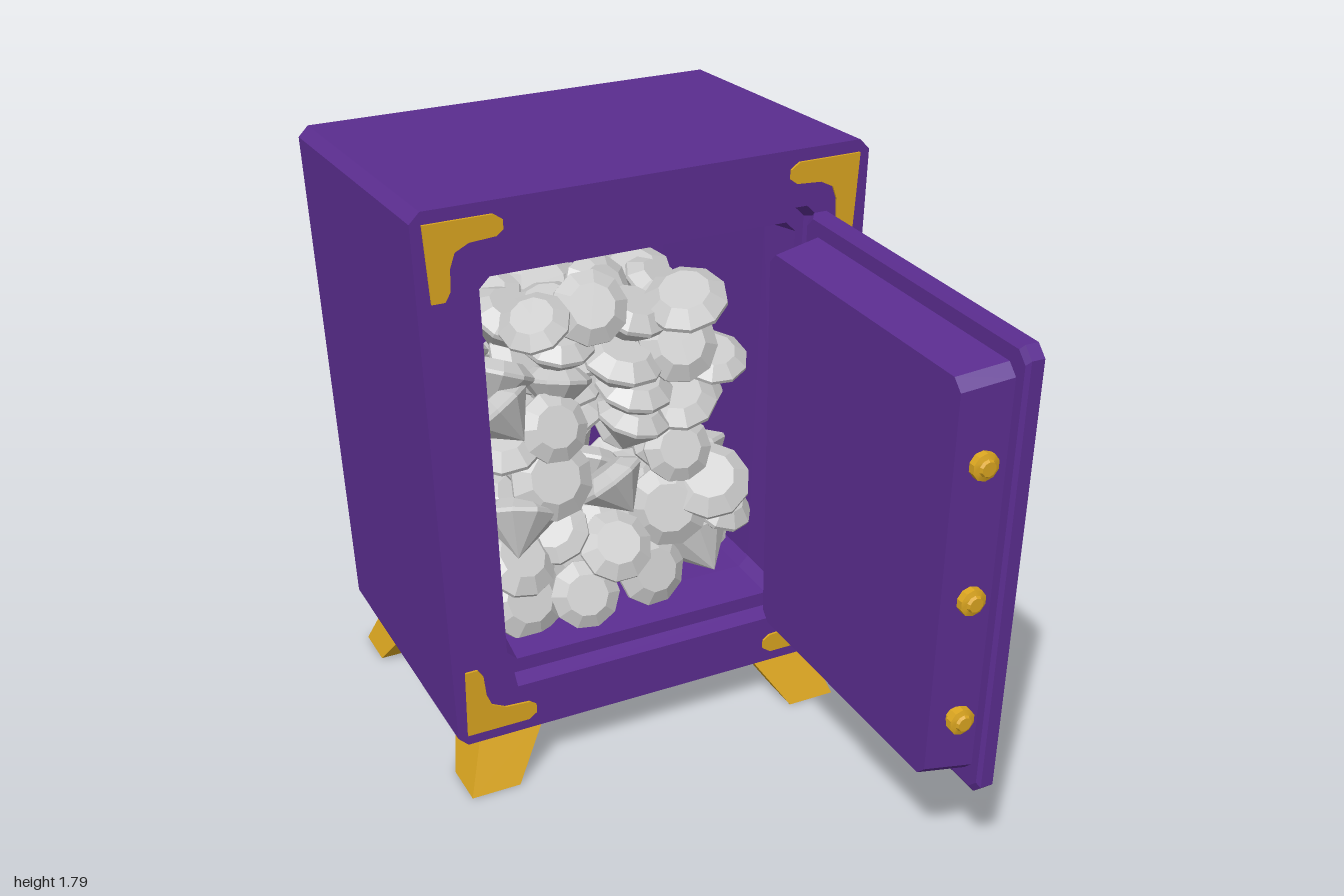
import * as THREE from 'three';
import { toCreasedNormals } from 'three/addons/utils/BufferGeometryUtils.js';

const purple = new THREE.MeshStandardMaterial({ color: 0x5b2d90 });
const gold = new THREE.MeshStandardMaterial({ color: 0xdaa520 });
const silver = new THREE.MeshStandardMaterial({ color: 0xc8c8c8 });

function add(parent, name, geometry, material, x = 0, y = 0, z = 0) {
  const mesh = new THREE.Mesh(geometry, material);
  mesh.name = name;
  mesh.position.set(x, y, z);
  parent.add(mesh);
  return mesh;
}

// Tapered rectangle with cut corners, counter-clockwise from the front.
// z may be a number or a function of y.
function ring(topHalf, botHalf, yTop, yBot, cut, z) {
  const corners = [
    [botHalf - cut, yBot], [botHalf, yBot + cut], [topHalf, yTop - cut], [topHalf - cut, yTop],
    [cut - topHalf, yTop], [-topHalf, yTop - cut], [-botHalf, yBot + cut], [cut - botHalf, yBot],
  ];
  return corners.map(([x, y]) => [x, y, typeof z === 'function' ? z(y) : z]);
}

// Joins successive rings and closes both ends, with flat faces
function loft(rings) {
  const pos = [];
  const n = rings[0].length;
  const first = rings[0], last = rings[rings.length - 1];
  for (let k = 0; k < rings.length - 1; k++) {
    const a = rings[k], b = rings[k + 1];
    for (let i = 0; i < n; i++) {
      const j = (i + 1) % n;
      pos.push(...a[i], ...a[j], ...b[j], ...a[i], ...b[j], ...b[i]);
    }
  }
  for (let i = 1; i < n - 1; i++) {
    pos.push(...first[0], ...first[i + 1], ...first[i]);
    pos.push(...last[0], ...last[i], ...last[i + 1]);
  }
  const geo = new THREE.BufferGeometry();
  geo.setAttribute('position', new THREE.Float32BufferAttribute(pos, 3));
  geo.computeVertexNormals();
  return geo;
}

function lathe(points, sides, crease) {
  const geo = new THREE.LatheGeometry(points.map(p => new THREE.Vector2(...p)), sides);
  return toCreasedNormals(geo, crease);
}

const FRONT = -0.05;
const halfWidth = y => 0.62 + 0.045 * (y - 0.155) / 1.635;

// Body: outer shell, front frame, stepped doorway and hollow inside in one skin
function buildBody(root) {
  const backZ = y => -0.955 - 0.045 * (y - 0.155) / 1.58;
  add(root, 'safeBody', loft([
    ring(0.665, 0.62, 1.735, 0.155, 0.03, backZ),
    ring(0.665, 0.62, 1.79, 0.155, 0.03, FRONT),
    ring(0.51, 0.465, 1.625, 0.31, 0.035, FRONT),
    ring(0.495, 0.455, 1.612, 0.325, 0.035, FRONT - 0.05),
    ring(0.47, 0.44, 1.565, 0.37, 0.03, FRONT - 0.05),
    ring(0.455, 0.43, 1.545, 0.385, 0.03, FRONT - 0.2),
    ring(0.455, 0.43, 1.545, 0.385, 0.03, FRONT - 0.83),
  ]), purple);
}

// Corner brackets: thin L plates following the slanted sides
function buildBrackets(root) {
  const outline = [[0, 0], [0.19, 0], [0.215, 0.018], [0.215, 0.045], [0.195, 0.06], [0.12, 0.065],
    [0.08, 0.085], [0.065, 0.125], [0.06, 0.19], [0.045, 0.215], [0.008, 0.215]];
  for (const sx of [-1, 1]) for (const top of [true, false]) {
    const pts = outline.map(([a, b]) => {
      const y = top ? 1.755 - b : 0.19 + b;
      return new THREE.Vector2(sx * (halfWidth(y) - 0.03 - a), y);
    });
    const geo = new THREE.ExtrudeGeometry(new THREE.Shape(pts), { depth: 0.007, bevelEnabled: false });
    add(root, 'cornerBracket', geo, gold, 0, 0, FRONT);
  }
}

// Splayed feet
function buildFeet(root) {
  const rect = (x0, x1, z0, z1, y) => [[x0, y, z0], [x0, y, z1], [x1, y, z1], [x1, y, z0]];
  for (const sx of [-1, 1]) for (const front of [true, false]) {
    const span = (a, b) => sx > 0 ? [a, b] : [-b, -a];
    const low = rect(...span(0.455, 0.605), ...(front ? [-0.14, 0] : [-0.95, -0.81]), 0);
    const high = rect(...span(0.345, 0.545), ...(front ? [-0.275, -0.07] : [-0.885, -0.68]), 0.165);
    add(root, 'foot', loft([low, high]), gold);
  }
}

// Door standing open at a right angle, its outside facing +x
function buildDoor(root) {
  const door = new THREE.Group();
  door.name = 'door';
  root.add(door);
  const panel = add(door, 'doorPanel', loft([
    ring(0.452, 0.432, 1.55, 0.395, 0.03, 0.315),
    ring(0.47, 0.447, 1.57, 0.375, 0.03, 0.455),
    ring(0.5, 0.473, 1.612, 0.332, 0.03, 0.455),
    ring(0.51, 0.483, 1.625, 0.318, 0.03, 0.465),
    ring(0.51, 0.483, 1.625, 0.318, 0.03, 0.502),
  ]), purple, 0, 0, 0.487);
  panel.rotation.y = Math.PI / 2;

  // Locking bolts on the free edge
  const bolt = lathe([[0, 0], [0.028, 0], [0.028, 0.03], [0.038, 0.035], [0.038, 0.055],
    [0.024, 0.06], [0.02, 0.068], [0, 0.068]], 10, 0.5);
  for (const y of [0.58, 0.94, 1.32]) {
    add(door, 'lockingBolt', bolt, gold, 0.39, y, 0.908).rotation.x = Math.PI / 2;
  }

  // Hinges
  const hinge = toCreasedNormals(new THREE.CylinderGeometry(0.021, 0.021, 0.292, 12), 0.7);
  for (const [x, y] of [[0.526, 1.358], [0.514, 0.56]]) {
    add(door, 'hinge', hinge, gold, x, y, -0.021).rotation.z = -0.02;
  }

  // Wheel handle: stepped plate, domed hub and six spokes
  const wheel = new THREE.Group();
  wheel.name = 'wheelHandle';
  wheel.position.set(0.5, 0.995, 0.497);
  door.add(wheel);
  add(wheel, 'wheelHub', lathe([[0.188, 0], [0.188, 0.014], [0.175, 0.02], [0.152, 0.02], [0.147, 0.012],
    [0.138, 0.012], [0.13, 0.028], [0.105, 0.032], [0.095, 0.045], [0.05, 0.05], [0.05, 0.065],
    [0.08, 0.072], [0.08, 0.092], [0.068, 0.105], [0.04, 0.113], [0, 0.116]], 28, 0.55), gold)
    .rotation.z = -Math.PI / 2;
  const spoke = new THREE.CylinderGeometry(0.017, 0.022, 0.2, 10);
  const knob = new THREE.SphereGeometry(0.027, 12, 8);
  for (let i = 0; i < 6; i++) {
    const arm = new THREE.Group();
    arm.name = 'wheelSpoke';
    arm.position.x = 0.082;
    arm.rotation.x = Math.PI / 2 + i * Math.PI / 3 + 0.03;
    add(arm, 'spokeRod', spoke, gold, 0, 0.145, 0);
    add(arm, 'spokeKnob', knob, gold, 0, 0.245, 0);
    wheel.add(arm);
  }
}

// Heap of cut gems: x, y, forward tip, roll
const GEMS = [
  [-0.23, 1.29, 0.4, 0.4], [-0.05, 1.3, 1.0, 0.3], [0.09, 1.24, 0.3, -0.2], [0.25, 1.27, 0.35, 0.3],
  [-0.35, 1.15, -0.3, -0.4], [-0.15, 1.19, 0.25, -0.05], [0.21, 1.16, 1.0, 0.3], [0.04, 1.12, 0.3, -0.1],
  [-0.16, 1.08, -0.3, -0.2], [-0.36, 1.06, -0.5, 0.6], [0.07, 1.03, 0.3, -0.1], [-0.34, 0.94, 0.4, 0.2],
  [-0.21, 0.99, 1.1, 0], [0.06, 0.94, 0.2, -0.2], [0.23, 0.95, 0.4, 0.2], [-0.23, 0.84, 1.1, 0.1],
  [0.2, 0.83, 1.1, 0.3], [0, 0.74, -0.5, 0.5], [-0.34, 0.73, -0.6, -0.3], [0.16, 0.66, 1.1, 0.8],
  [-0.2, 0.63, 0.5, 0.5], [-0.04, 0.58, 0.8, 0.1], [-0.35, 0.59, 0.7, -0.2], [-0.33, 0.46, 1.1, -0.2],
  [-0.15, 0.46, 1.1, 0.4], [0.08, 0.47, 1.2, -0.2], [0.27, 0.5, -0.8, 0.3], [0.29, 0.71, 0.6, 0.3],
  [0.34, 1.07, 0.4, 0.1], [0.34, 0.6, 0.5, -0.3],
];

function buildGems(root) {
  const heap = new THREE.Group();
  heap.name = 'gemHeap';
  root.add(heap);
  const gem = new THREE.LatheGeometry([[0, -0.1], [0.112, 0.015], [0.112, 0.027], [0.068, 0.06], [0, 0.06]]
    .map(p => new THREE.Vector2(...p)), 10).toNonIndexed();
  gem.computeVertexNormals();
  for (let layer = 0; layer < 3; layer++) {
    const flip = layer === 1 ? -1 : 1;
    GEMS.forEach(([x, y, tip, roll], i) => {
      const z = -0.2 - 0.14 * (y - 0.4) - 0.03 * (i % 3) - 0.18 * layer;
      const m = add(heap, 'gem', gem, silver, flip * x * 0.98, y - 0.03 * layer * (y > 0.6), z);
      m.rotation.set(tip, i * 0.7 + layer, flip * roll, 'ZXY');
      m.scale.setScalar(0.93 + 0.06 * (i % 4));
    });
  }
}

export function createModel() {
  const root = new THREE.Group();
  root.name = 'openSafe';
  buildBody(root);
  buildBrackets(root);
  buildFeet(root);
  buildDoor(root);
  buildGems(root);
  return root;
}
